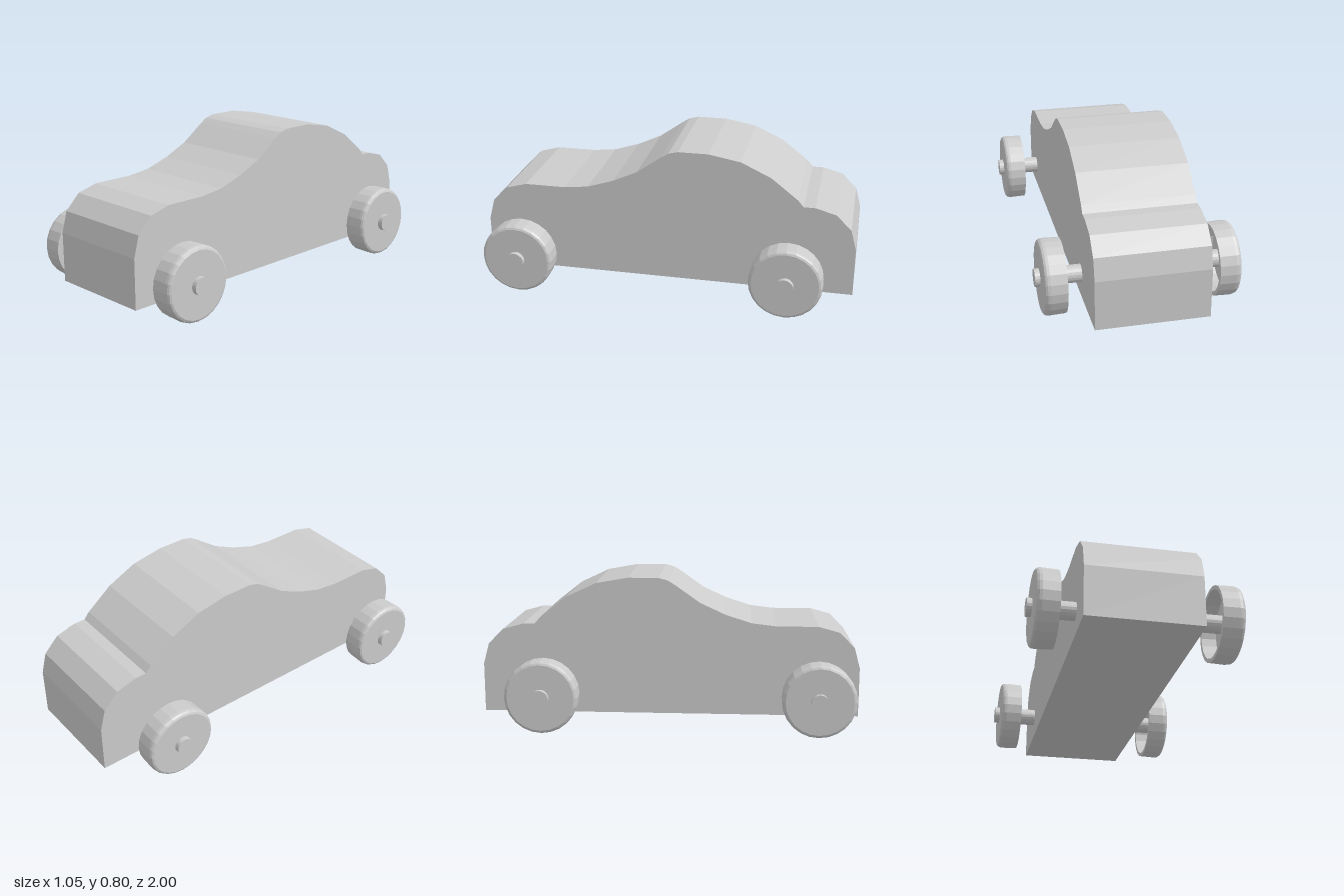
import * as THREE from 'three';

const material = new THREE.MeshStandardMaterial({ color: 0xcccccc, flatShading: true });

function addMesh(parent, name, geometry) {
  const mesh = new THREE.Mesh(geometry, material);
  mesh.name = name;
  parent.add(mesh);
  return mesh;
}

// Side silhouette as [z, y], front bumper to rear bumper
const silhouette = [
  [1, 0.07], [1, 0.33], [0.97, 0.44], [0.89, 0.52], [0.78, 0.55], [0.56, 0.55],
  [0.43, 0.565], [0.29, 0.61], [0.16, 0.67], [0.03, 0.762], [-0.01, 0.787], [-0.06, 0.8],
  [-0.22, 0.8], [-0.39, 0.77], [-0.55, 0.695], [-0.69, 0.585], [-0.72, 0.55],
  [-0.78, 0.55], [-0.89, 0.52], [-0.97, 0.44], [-1, 0.33], [-1, 0.07],
];

// Wheel section as [radius, distance outward]: hollow inner side, rounded outer edge
const wheelSection = [
  [0, 0.075], [0.165, 0.075], [0.17, 0], [0.19, 0], [0.193, 0.085], [0.191, 0.099],
  [0.185, 0.109], [0.175, 0.114], [0, 0.114],
];

const toVectors = (points) => points.map(([a, b]) => new THREE.Vector2(a, b));

export function createModel() {
  const car = new THREE.Group();
  car.name = 'toyCar';

  // Solid body cut from one slab
  const width = 0.576;
  const bodyGeometry = new THREE.ExtrudeGeometry(new THREE.Shape(toVectors(silhouette)), {
    depth: width, bevelEnabled: false,
  });
  bodyGeometry.rotateY(-Math.PI / 2).translate(width / 2, 0, 0);
  addMesh(car, 'body', bodyGeometry);

  // Axles with a wheel at each end
  const axleGeometry = new THREE.CylinderGeometry(0.046, 0.046, 1.048, 20).rotateZ(Math.PI / 2);
  const wheelGeometry = new THREE.LatheGeometry(toVectors(wheelSection), 24)
    .rotateZ(-Math.PI / 2).translate(0.384, 0, 0);
  for (const [end, z] of [['front', 0.78], ['rear', -0.66]]) {
    const axleSet = new THREE.Group();
    axleSet.name = `${end}WheelSet`;
    axleSet.position.set(0, 0.197, z);
    addMesh(axleSet, `${end}Axle`, axleGeometry);
    addMesh(axleSet, `${end}LeftWheel`, wheelGeometry);
    addMesh(axleSet, `${end}RightWheel`, wheelGeometry).rotation.y = Math.PI;
    car.add(axleSet);
  }
  return car;
}
